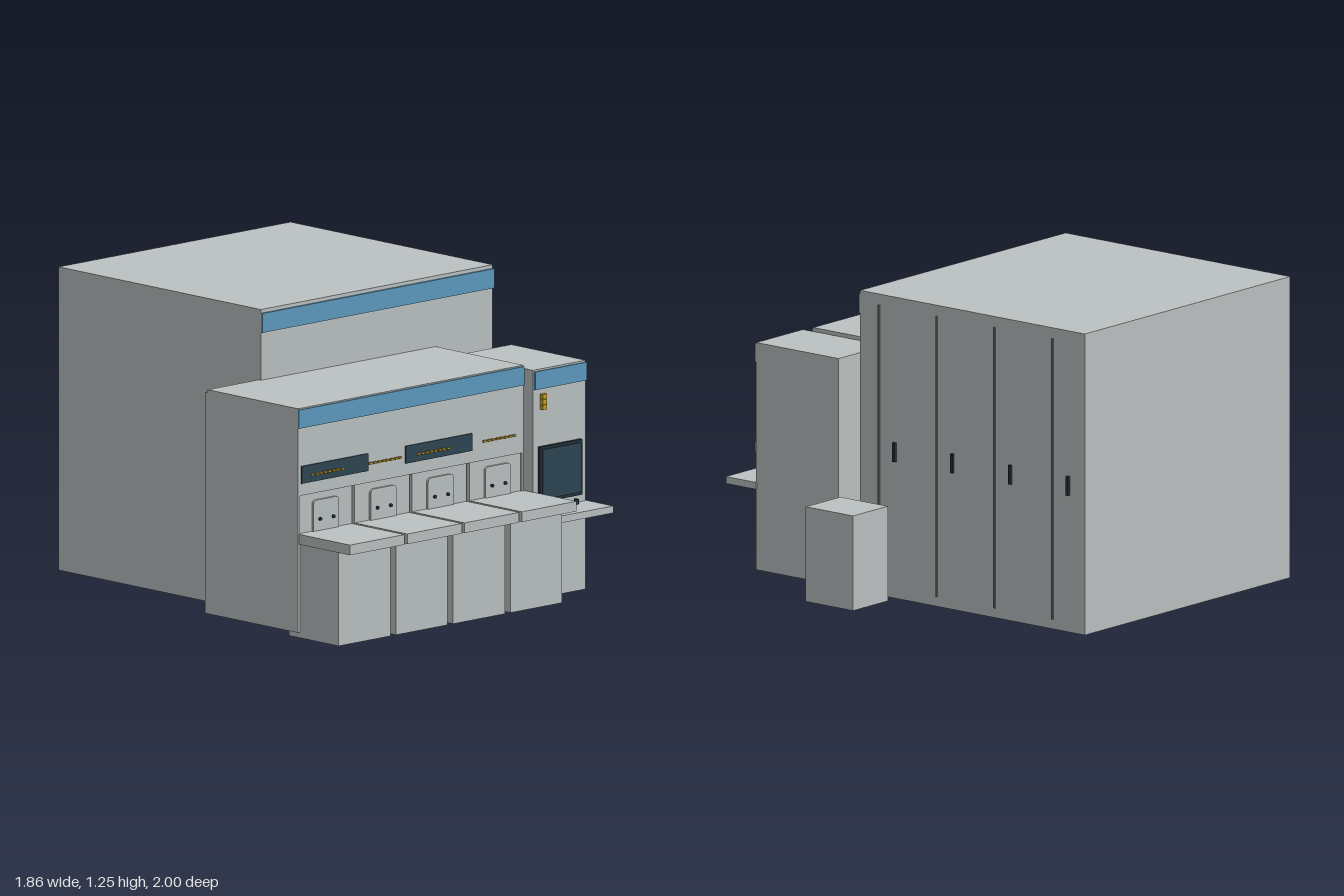
import * as THREE from 'three';

const material = (name, color) => {
  const m = new THREE.MeshStandardMaterial({ color });
  m.name = name;
  return m;
};

export function createModel() {
  const model = new THREE.Group();
  model.name = 'productionMachine';
  const grey = material('panel grey', 0xbcc1c1);
  const seamGrey = material('seam grey', 0x747979);
  const blue = material('trim blue', 0x5c9bbf);
  const glass = material('dark glass', 0x2c4653);
  const black = material('handle black', 0x22303a);
  const yellow = material('signal yellow', 0xc9a227);

  // Box given by its extents on each axis
  const box = (name, mat, [x0, x1], [y0, y1], [z0, z1], parent = model) => {
    const mesh = new THREE.Mesh(new THREE.BoxGeometry(x1 - x0, y1 - y0, z1 - z0), mat);
    mesh.position.set((x0 + x1) / 2, (y0 + y1) / 2, (z0 + z1) / 2);
    mesh.name = name;
    parent.add(mesh);
    return mesh;
  };
  const cylinder = (name, mat, r, h, x, y, z, alongZ = false, parent = model) => {
    const mesh = new THREE.Mesh(new THREE.CylinderGeometry(r, r, h, 16), mat);
    if (alongZ) mesh.rotation.x = Math.PI / 2;
    mesh.position.set(x, y, z);
    mesh.name = name;
    parent.add(mesh);
  };

  // Main cabinet with door seams and handles on its left side
  box('mainCabinet', grey, [-0.645, 0.655], [0, 1.255], [-1, 0.185]);
  box('cabinetTrim', blue, [-0.645, 0.655], [1.16, 1.24], [0.185, 0.195]);
  for (let i = 0; i < 4; i++) {
    const seam = 0.085 - i * 0.305;
    box('doorSeam', seamGrey, [0.655, 0.66], [0.04, 1.21], [seam - 0.004, seam + 0.004]);
    const grip = -0.305 * i;
    box('doorHandle', black, [0.655, 0.667], [0.57, 0.65], [grip - 0.006, grip + 0.006]);
  }

  // Front module: open shell of two sides, roof and front wall
  box('modulePanelRight', grey, [-0.93, -0.92], [0.035, 0.95], [0.155, 0.7]);
  box('modulePanelLeft', grey, [0.325, 0.335], [0.035, 0.95], [0.185, 0.7]);
  box('moduleRoof', grey, [-0.93, 0.335], [0.95, 0.962], [0.17, 0.7]);
  box('moduleFrontWall', grey, [-0.92, 0.325], [0.6, 0.95], [0.685, 0.7]);
  box('moduleTrim', blue, [-0.93, 0.335], [0.88, 0.957], [0.7, 0.706]);
  for (const x of [-0.915, -0.33]) {
    box('viewingWindow', glass, [x, x + 0.373], [0.65, 0.722], [0.7, 0.706]);
  }
  // Rows of indicator lights
  for (const x of [-0.865, -0.54, -0.27, 0.1]) {
    for (let i = 0; i < 8; i++) {
      const left = x + i * 0.0237;
      box('indicatorLight', yellow, [left, left + 0.014], [0.677, 0.685], [0.706, 0.715]);
    }
  }
  cylinder('levellingFoot', grey, 0.024, 0.016, -0.808, 0.008, 0.58);

  // Feeder carts
  for (let i = 0; i < 4; i++) {
    const cart = new THREE.Group();
    cart.name = 'feederCart';
    cart.position.x = -0.773 + i * 0.3215;
    model.add(cart);
    box('cartBody', grey, [-0.145, 0.145], [0.012, 0.4], [0.635, 0.925], cart);
    box('cartTable', grey, [-0.153, 0.153], [0.4, 0.442], [0.64, 1], cart);
    box('cartBackPanel', grey, [-0.153, 0.153], [0.442, 0.6], [0.675, 0.692], cart);
    // Raised access plate with rounded upper corners
    const w = 0.072, top = 0.57, r = 0.02;
    const shape = new THREE.Shape();
    shape.moveTo(-w, 0.442);
    shape.lineTo(w, 0.442);
    shape.lineTo(w, top - r);
    shape.quadraticCurveTo(w, top, w - r, top);
    shape.lineTo(r - w, top);
    shape.quadraticCurveTo(-w, top, -w, top - r);
    const plate = new THREE.Mesh(
      new THREE.ExtrudeGeometry(shape, { depth: 0.035, bevelEnabled: false, curveSegments: 5 }), grey);
    plate.position.z = 0.667;
    plate.name = 'accessPlate';
    cart.add(plate);
    for (const x of [-0.037, 0.037]) cylinder('plateKnob', black, 0.007, 0.008, x, 0.49, 0.706, true, cart);
    // Docking rails
    for (const x of [-0.153, 0.143]) box('dockingRail', grey, [x, x + 0.01], [0.36, 0.38], [0.64, 0.7], cart);
  }

  // Operator tower
  box('operatorTower', grey, [0.34, 0.635], [0, 0.947], [0.315, 0.75]);
  box('towerTrim', blue, [0.347, 0.635], [0.865, 0.94], [0.75, 0.758]);
  box('screenFrame', black, [0.368, 0.605], [0.397, 0.627], [0.75, 0.763]);
  box('screen', glass, [0.38, 0.594], [0.41, 0.615], [0.763, 0.768]);
  box('keyboardShelf', grey, [0.34, 0.642], [0.337, 0.366], [0.745, 0.905]);
  for (let i = 0; i < 3; i++) {
    const y = 0.78 + i * 0.022;
    box('signalLamp', yellow, [0.378, 0.402], [y, y + 0.02], [0.75, 0.768]);
  }
  cylinder('stopButtonBase', yellow, 0.02, 0.012, 0.392, 0.372, 0.772);
  cylinder('stopButton', yellow, 0.012, 0.02, 0.397, 0.388, 0.772);
  cylinder('pointerKnob', black, 0.01, 0.02, 0.562, 0.376, 0.772);

  // Free-standing side unit
  box('sideUnit', grey, [0.71, 0.93], [0, 0.395], [-0.007, 0.243]);

  return model;
}
